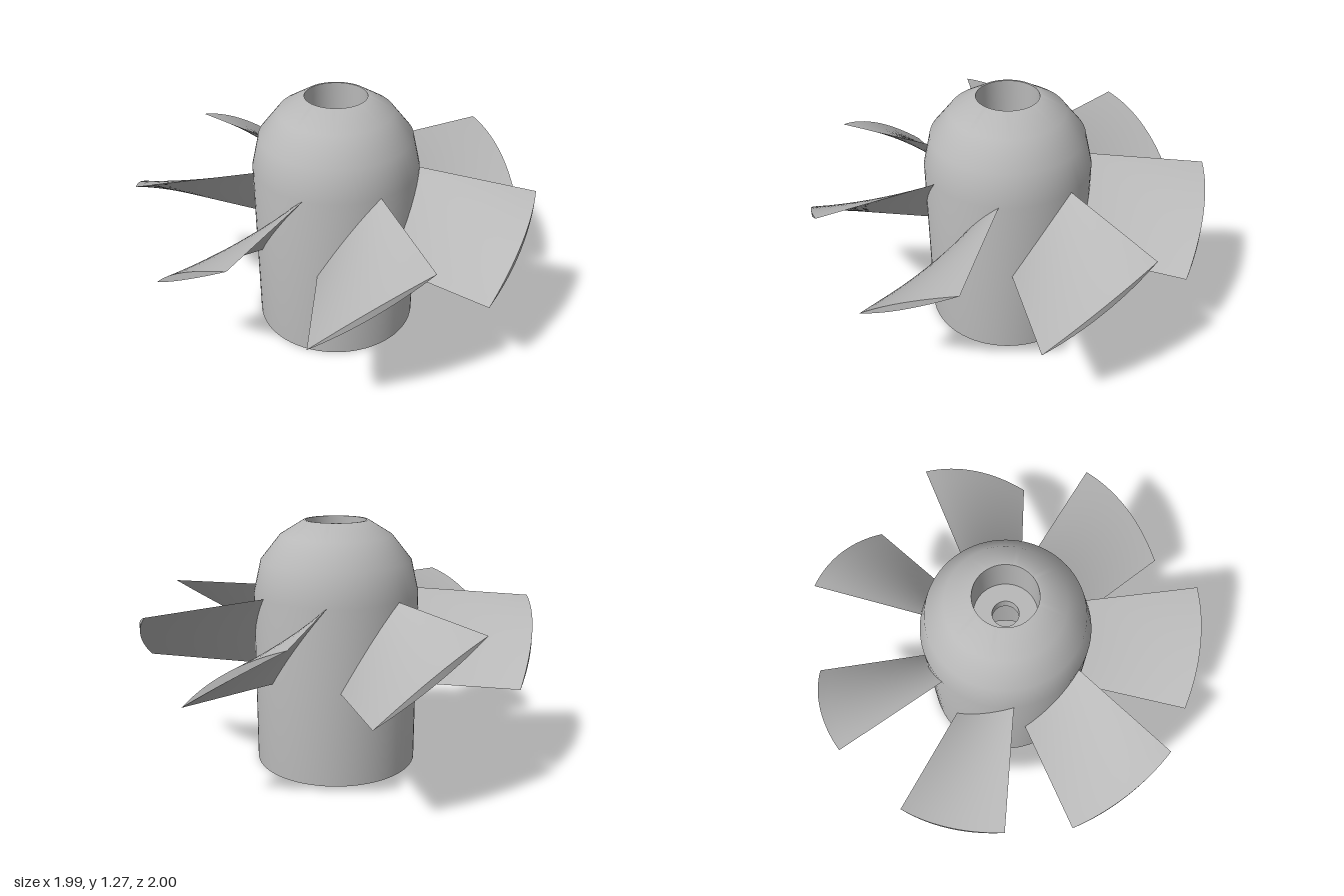
import * as THREE from 'three';
import { toCreasedNormals } from 'three/addons/utils/BufferGeometryUtils.js';

const BLADES = 7, ROOT = 0.4, TIP = 1.0;
const lerp = THREE.MathUtils.lerp;

// Hollow hub: closed wall profile, up the outside and back down the inside
function hubGeometry() {
  const profile = [
    [0.385, 0], [0.425, 0], [0.425, 0.91], [0.387, 1.075], [0.287, 1.2], [0.165, 1.275],
    [0.155, 1.275], [0.155, 1.06], [0.065, 1.06], [0.065, 1.0],
    [0.3, 1.0], [0.385, 0.9], [0.385, 0],
  ].map(([r, y]) => new THREE.Vector2(r, y));
  return toCreasedNormals(new THREE.LatheGeometry(profile, 72), 0.6);
}

// Point on a blade along +x: u runs from the high edge (-1) to the low edge (1)
function bladePoint(r, u, bulge) {
  const t = (r - 0.425) / (TIP - 0.425);
  const z = u * lerp(0.155, 0.273, t);
  const high = lerp(0.913, 0.878, t), low = lerp(0.49, 0.54, t);
  const y = lerp(high, low, (u + 1) / 2) + bulge * (1 - u * u);
  return [Math.sqrt(r * r - z * z), y, z];
}

// Twisted blade with a domed upper face, a nearly flat lower face and a tip cap
function bladeGeometry() {
  const rows = 10, cols = 16, pos = [], index = [];
  const sheet = (nu, nv, point, flip) => {
    const base = pos.length / 3;
    for (let j = 0; j <= nv; j++)
      for (let i = 0; i <= nu; i++) pos.push(...point(i / nu, j / nv));
    for (let j = 0; j < nv; j++)
      for (let i = 0; i < nu; i++) {
        const a = base + j * (nu + 1) + i, b = a + 1, c = a + nu + 1, d = c + 1;
        if (flip) index.push(a, c, b, b, c, d);
        else index.push(a, b, c, b, d, c);
      }
  };
  const upper = 0.045, lower = 0.005;
  sheet(cols, rows, (i, j) => bladePoint(lerp(ROOT, TIP, j), i * 2 - 1, upper), false);
  sheet(cols, rows, (i, j) => bladePoint(lerp(ROOT, TIP, j), i * 2 - 1, lower), true);
  sheet(cols, 1, (i, j) => bladePoint(TIP, i * 2 - 1, lerp(upper, lower, j)), false);
  const geo = new THREE.BufferGeometry();
  geo.setAttribute('position', new THREE.Float32BufferAttribute(pos, 3));
  geo.setIndex(index);
  geo.computeVertexNormals();
  return geo;
}

export function createModel() {
  const model = new THREE.Group();
  model.name = 'impeller';
  const grey = new THREE.MeshStandardMaterial({ color: 0xb8b8b8 });
  grey.name = 'plain grey';

  const rotor = new THREE.Group();
  rotor.name = 'rotor';
  rotor.position.x = -0.01;
  model.add(rotor);

  const hub = new THREE.Mesh(hubGeometry(), grey);
  hub.name = 'hub';
  rotor.add(hub);

  // Seven equal blades around the hub
  const blade = bladeGeometry();
  for (let k = 0; k < BLADES; k++) {
    const mesh = new THREE.Mesh(blade, grey);
    mesh.name = 'blade' + (k + 1);
    mesh.rotation.y = (k * 2 * Math.PI) / BLADES;
    rotor.add(mesh);
  }
  return model;
}
